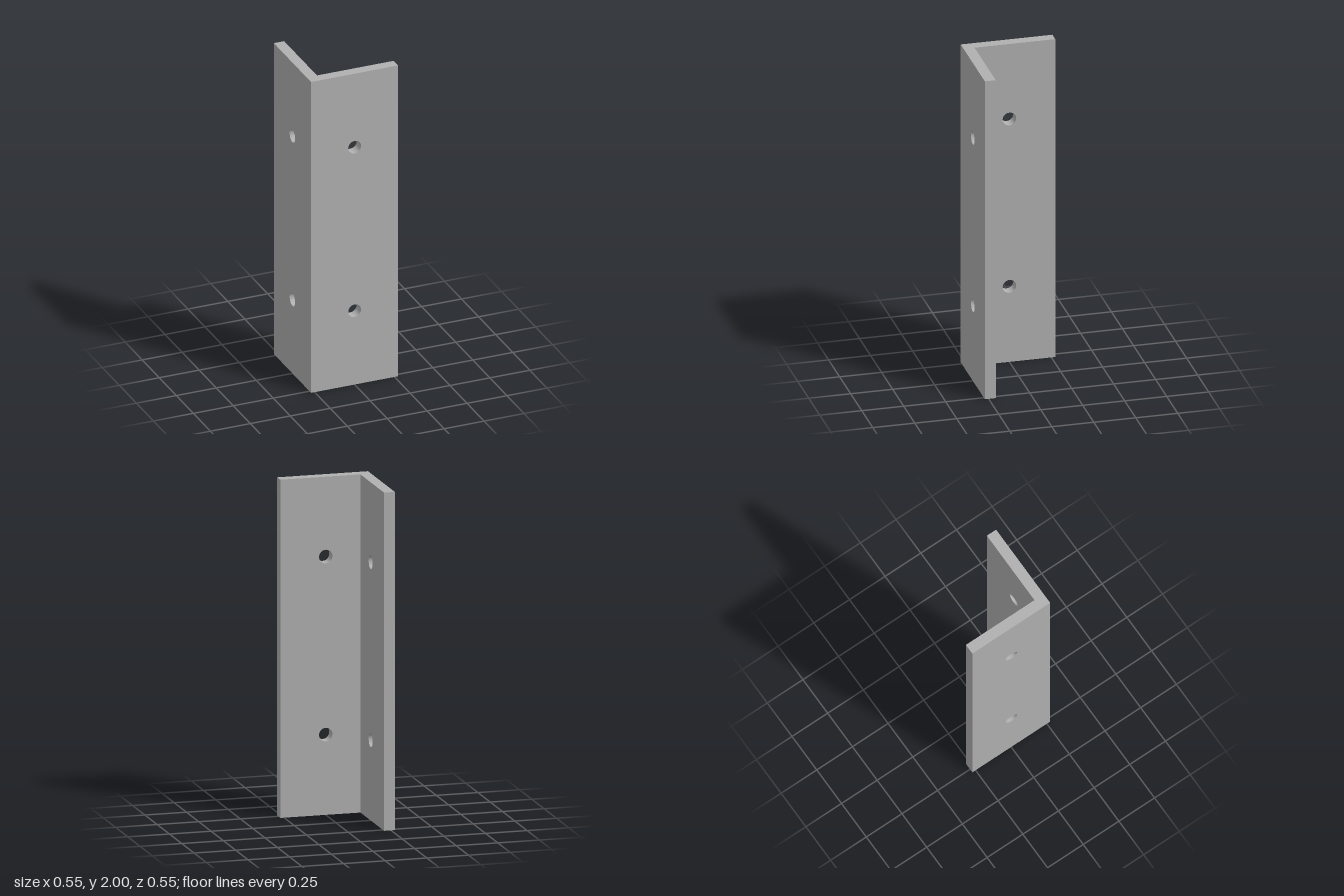
import * as THREE from 'three';

const HALF = 0.273;      // half width of the angle
const THICK = 0.065;     // plate thickness
const INNER = HALF - THICK;
const HEIGHT = 2;
const HOLE_RADIUS = 0.04;
const HOLE_HEIGHTS = [0.475, 1.528];

// Upright plate from u0 to u1 with two bolt holes, extruded by its thickness
function drilledPlate(u0, u1) {
  const shape = new THREE.Shape([
    new THREE.Vector2(u0, 0),
    new THREE.Vector2(u1, 0),
    new THREE.Vector2(u1, HEIGHT),
    new THREE.Vector2(u0, HEIGHT),
  ]);
  for (const y of HOLE_HEIGHTS) {
    shape.holes.push(new THREE.Path().absarc(0, y, HOLE_RADIUS, 0, Math.PI * 2, true));
  }
  return new THREE.ExtrudeGeometry(shape, { depth: THICK, bevelEnabled: false, curveSegments: 32 });
}

export function createModel() {
  const group = new THREE.Group();
  group.name = 'angleBracket';
  const steel = new THREE.MeshStandardMaterial({ color: 0xb0b0b0 });
  steel.name = 'greySteel';

  // Front flange, full width
  const front = new THREE.Mesh(drilledPlate(-HALF, HALF).translate(0, 0, INNER), steel);
  front.name = 'frontFlange';

  // Side flange on -x, butting against the back of the front flange
  const side = new THREE.Mesh(
    drilledPlate(-HALF, INNER).rotateY(-Math.PI / 2).translate(-INNER, 0, 0), steel);
  side.name = 'sideFlange';

  group.add(front, side);
  return group;
}
